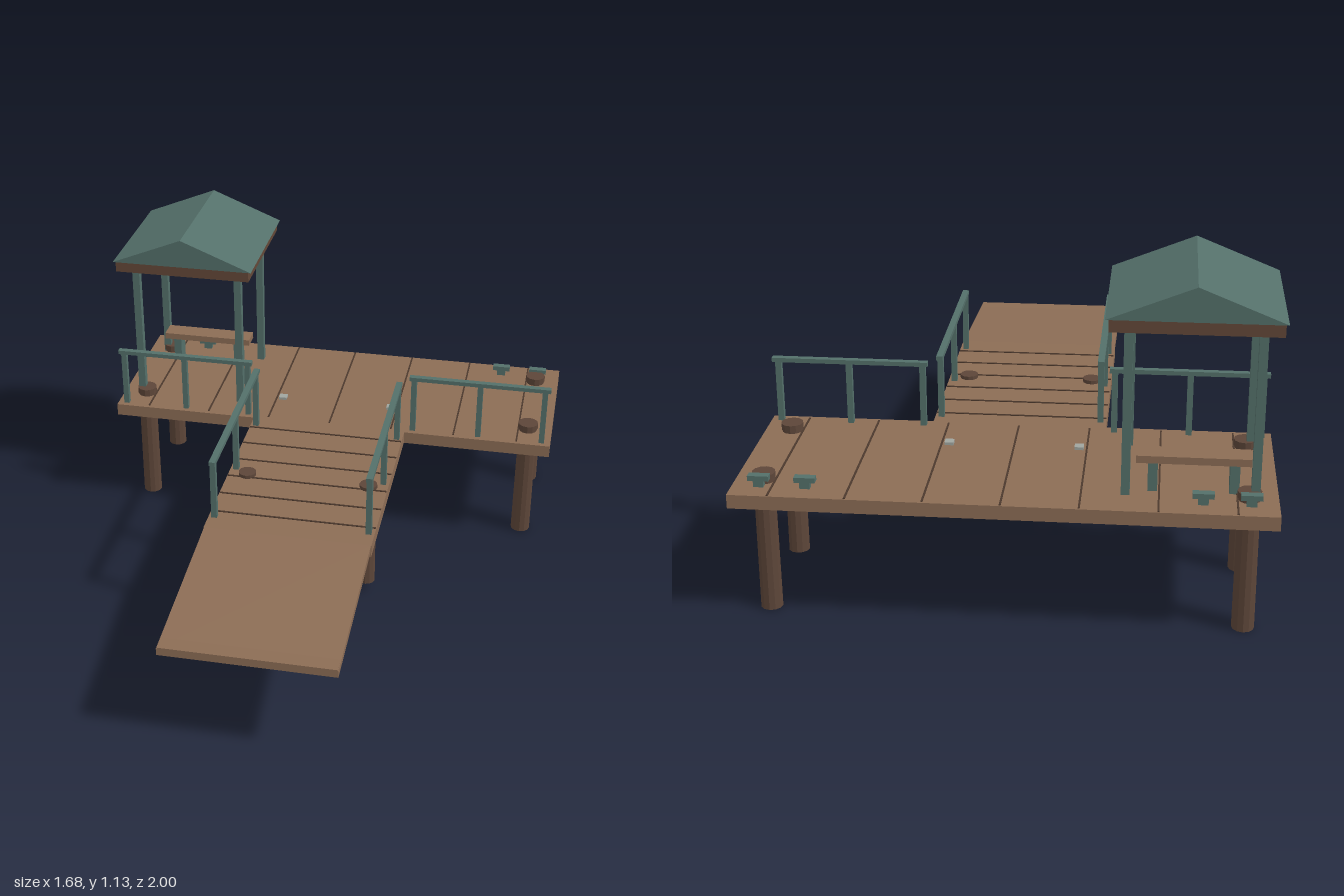
import * as THREE from 'three';

const mat = (name, color, extra = {}) => {
  const m = new THREE.MeshStandardMaterial({ color, ...extra });
  m.name = name;
  return m;
};

export function createModel() {
  const root = new THREE.Group();
  root.name = 'fishingPier';
  const wood = mat('deckWood', 0x8c6d55);
  const dark = mat('darkTimber', 0x634838);
  const pileWood = mat('pileWood', 0x5d4639, { flatShading: true });
  const seam = mat('seamBrown', 0x4c392d);
  const green = mat('greenMetal', 0x54706a);
  const pale = mat('paleLamp', 0xa0a59f);

  const add = (name, geo, material, parent = root) => {
    const m = new THREE.Mesh(geo, material);
    m.name = name;
    parent.add(m);
    return m;
  };
  // Box given by its extents on each axis
  const box = (name, material, [x0, x1], [y0, y1], [z0, z1], parent) => {
    const m = add(name, new THREE.BoxGeometry(x1 - x0, y1 - y0, z1 - z0), material, parent);
    m.position.set((x0 + x1) / 2, (y0 + y1) / 2, (z0 + z1) / 2);
    return m;
  };
  const around = (c, w) => [c - w / 2, c + w / 2];
  const group = (name) => {
    const g = new THREE.Group();
    g.name = name;
    root.add(g);
    return g;
  };
  const TOP = 0.443;

  // T-shaped deck
  box('headDeck', wood, [-0.84, 0.84], [0.397, TOP], [-1, -0.385]);
  box('walkwayDeck', wood, [-0.292, 0.292], [0.397, TOP], [-0.385, 0.39]);

  // Sloping ramp, a side profile swept across the width
  const profile = new THREE.Shape([[0.39, TOP], [0.39, 0.417], [1, 0.362], [1, 0.386]]
    .map(([z, y]) => new THREE.Vector2(-z, y)));
  const ramp = new THREE.ExtrudeGeometry(profile, { depth: 0.58, bevelEnabled: false });
  ramp.translate(0, 0, -0.29).rotateY(Math.PI / 2);
  add('ramp', ramp, wood);
  box('rampLip', wood, [-0.288, 0.288], [0.376, 0.391], [0.94, 1]);

  // Board seams
  const seams = group('boardSeams');
  for (let i = -3; i <= 3; i++)
    box('headSeam', seam, around(i * 0.238, 0.006), [TOP, TOP + 0.003], [-0.995, -0.4], seams);
  for (let i = 0; i < 6; i++)
    box('walkwaySeam', seam, [-0.29, 0.29], [TOP, TOP + 0.003], around(-0.312 + i * 0.119, 0.006), seams);

  // Piles with caps
  const pile = (x, z, r, y0, y1) => {
    const g = group('pile');
    const shaft = add('pileShaft', new THREE.CylinderGeometry(r * 0.95, r, y1 - y0 - 0.01, 12), pileWood, g);
    shaft.position.set(x, (y0 + y1 - 0.01) / 2, z);
    const cap = add('pileCap', new THREE.CylinderGeometry(r * 1.03, r * 1.03, 0.022, 12), pileWood, g);
    cap.position.set(x, y1 - 0.011, z);
  };
  for (const s of [-1, 1]) {
    pile(s * 0.75, -0.5, 0.036, 0, 0.472);
    pile(s * 0.75, -0.885, 0.036, 0, 0.472);
    pile(s * 0.222, 0.025, 0.031, 0.04, 0.456);
    box('stringer', dark, around(s * 0.225, 0.06), [0.342, 0.397], [-0.47, 0.39]);
    box('deckLight', pale, around(s * 0.213, 0.03), [TOP, TOP + 0.01], around(-0.56, 0.03));
    // Mooring cleats
    for (const x of [0.61, 0.755]) {
      const g = group('cleat');
      box('cleatBase', green, around(s * x, 0.032), [TOP, 0.467], around(-0.928, 0.022), g);
      box('cleatBar', green, around(s * x, 0.066), [0.464, 0.481], around(-0.928, 0.026), g);
    }
    // Head railing
    const head = group('headRailing');
    box('topRail', green, around(s * 0.565, 0.525), [0.655, 0.67], around(-0.414, 0.022), head);
    for (const x of [0.32, 0.568, 0.807])
      box('railPost', green, around(s * x, 0.02), [TOP, 0.656], around(-0.414, 0.02), head);
    // Walkway railing
    const walk = group('walkwayRailing');
    box('topRail', green, around(s * 0.271, 0.022), [0.655, 0.67], [-0.362, 0.332], walk);
    for (const z of [-0.335, -0.01, 0.315])
      box('railPost', green, around(s * 0.271, 0.02), [TOP, 0.656], around(z, 0.02), walk);
  }

  // Shelter with gable roof
  const shelter = group('shelter');
  for (const x of [-0.768, -0.373])
    for (const z of [-0.508, -0.877])
      box('shelterPost', green, around(x, 0.027), [TOP, 0.992], around(z, 0.027), shelter);
  box('roofFrame', dark, [-0.825, -0.315], [0.988, 1.029], [-0.94, -0.436], shelter);
  const gable = new THREE.Shape([[-0.834, 1.028], [-0.304, 1.028], [-0.57, 1.135]]
    .map(([x, y]) => new THREE.Vector2(x, y)));
  add('gableRoof', new THREE.ExtrudeGeometry(gable, { depth: 0.516, bevelEnabled: false }), green, shelter)
    .position.z = -0.946;
  box('ceilingLamp', pale, around(-0.57, 0.23), [0.977, 0.988], around(-0.605, 0.028), shelter);

  // Bench
  const bench = group('bench');
  box('benchSeat', wood, around(-0.578, 0.35), [0.54, 0.564], [-0.864, -0.788], bench);
  for (const x of [-0.705, -0.455])
    box('benchLeg', green, around(x, 0.03), [TOP, 0.541], [-0.855, -0.798], bench);

  return root;
}
